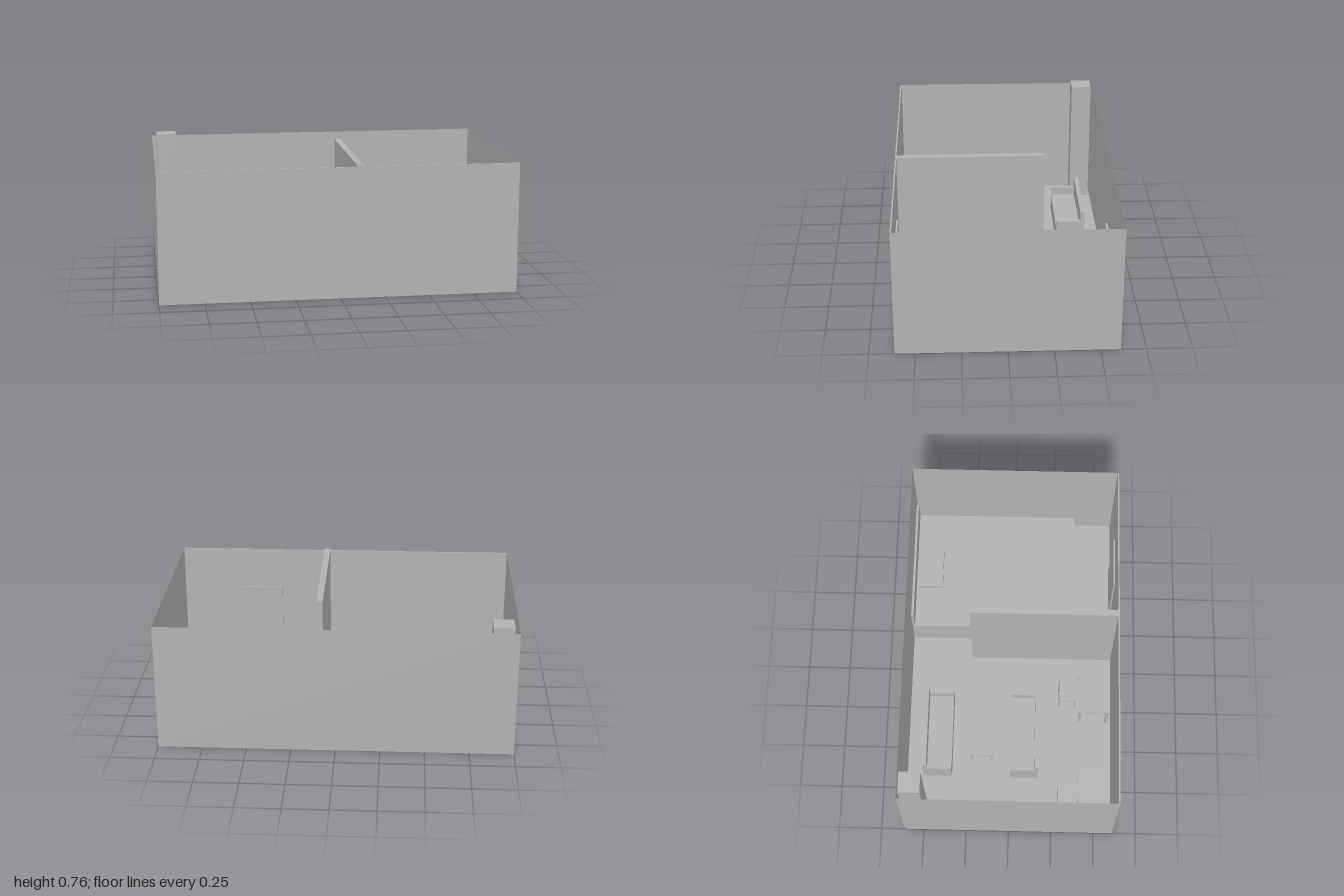
import * as THREE from 'three';

const grey = new THREE.MeshStandardMaterial({ color: 0xb2b2b2, side: THREE.DoubleSide });
grey.name = 'plain grey';

// Box given by its extents on each axis
function block(parent, name, [x0, x1], [y0, y1], [z0, z1]) {
  const mesh = new THREE.Mesh(new THREE.BoxGeometry(x1 - x0, y1 - y0, z1 - z0), grey);
  mesh.position.set((x0 + x1) / 2, (y0 + y1) / 2, (z0 + z1) / 2);
  mesh.name = name;
  parent.add(mesh);
  return mesh;
}

// Thin sheet for the floor and walls
function sheet(parent, name, w, h, pos, rx, ry) {
  const mesh = new THREE.Mesh(new THREE.PlaneGeometry(w, h), grey);
  mesh.position.set(...pos);
  mesh.rotation.set(rx, ry, 0);
  mesh.name = name;
  parent.add(mesh);
}

function group(parent, name, x = 0, z = 0) {
  const g = new THREE.Group();
  g.name = name;
  g.position.set(x, 0, z);
  parent.add(g);
  return g;
}

// Four legs at the corners of a rectangle
function legs(parent, name, hx, hz, top, t) {
  for (const sx of [-1, 1]) for (const sz of [-1, 1]) {
    const x = sx * (hx - t / 2), z = sz * (hz - t / 2);
    block(parent, name, [x - t / 2, x + t / 2], [0, top], [z - t / 2, z + t / 2]);
  }
}

// Sofa with its backrest on the -z side
function sofa(parent, name, x, z, turn) {
  const g = group(parent, name, x, z);
  g.rotation.y = turn;
  block(g, 'sofaSeat', [-0.222, 0.222], [0, 0.11], [-0.06, 0.085]);
  block(g, 'sofaBack', [-0.245, 0.245], [0, 0.22], [-0.085, -0.06]);
  for (const s of [-1, 1])
    block(g, 'sofaArm', [s * 0.2335 - 0.0115, s * 0.2335 + 0.0115], [0, 0.16], [-0.06, 0.085]);
}

// Desk with a matching chair behind it
function workplace(parent, name, deskX, chairX) {
  const g = group(parent, name);
  const desk = group(g, 'desk', deskX, 0.495);
  block(desk, 'deskTop', [-0.145, 0.145], [0.185, 0.2], [-0.093, 0.093]);
  legs(desk, 'deskLeg', 0.14, 0.088, 0.185, 0.015);
  const chair = group(g, 'chair', chairX, 0.338);
  block(chair, 'chairSeat', [-0.055, 0.055], [0.105, 0.12], [-0.052, 0.052]);
  block(chair, 'chairBack', [-0.055, 0.055], [0.12, 0.225], [-0.052, -0.042]);
  legs(chair, 'chairLeg', 0.055, 0.052, 0.105, 0.01);
}

export function createModel() {
  const model = new THREE.Group();
  model.name = 'apartment';

  // Room shell, open at the top
  const H = 0.738, Z = 0.611;
  const room = group(model, 'room');
  sheet(room, 'floor', 2, 2 * Z, [0, 0, 0], -Math.PI / 2, 0);
  sheet(room, 'backWall', 2, H, [0, H / 2, -Z], 0, Math.PI);
  sheet(room, 'rightWall', 2 * Z, H, [-1, H / 2, 0], 0, -Math.PI / 2);
  sheet(room, 'leftWall', 2 * Z, H, [1, H / 2, 0], 0, Math.PI / 2);
  block(room, 'frontWall', [-1, 1], [0, H], [0.603, Z]);
  block(room, 'partition', [0.088, 0.124], [0, 0.75], [-0.245, 0.608]);
  block(room, 'column', [-0.972, -0.855], [0, 0.765], [-0.6, -0.48]);
  block(room, 'door', [0.39, 0.68], [0, 0.49], [0.593, 0.606]);

  // Bed
  const bed = group(model, 'bed');
  block(bed, 'mattress', [0.212, 0.952], [0, 0.207], [-0.595, 0.37]);
  block(bed, 'headboard', [0.212, 0.952], [0, 0.353], [-0.609, -0.595]);
  block(bed, 'pillow', [0.46, 0.708], [0.207, 0.235], [-0.575, -0.435]);

  // Lounge
  sofa(model, 'rearSofa', -0.427, -0.43, 0);
  sofa(model, 'frontSofa', -0.427, 0.085, Math.PI);
  const table = group(model, 'coffeeTable', -0.427, -0.17);
  block(table, 'tableTop', [-0.145, 0.145], [0.095, 0.11], [-0.073, 0.073]);
  legs(table, 'tableLeg', 0.14, 0.068, 0.095, 0.015);

  // Desks along the front wall
  workplace(model, 'rightWorkplace', -0.82, -0.82);
  workplace(model, 'leftWorkplace', -0.173, -0.17);
  return model;
}
